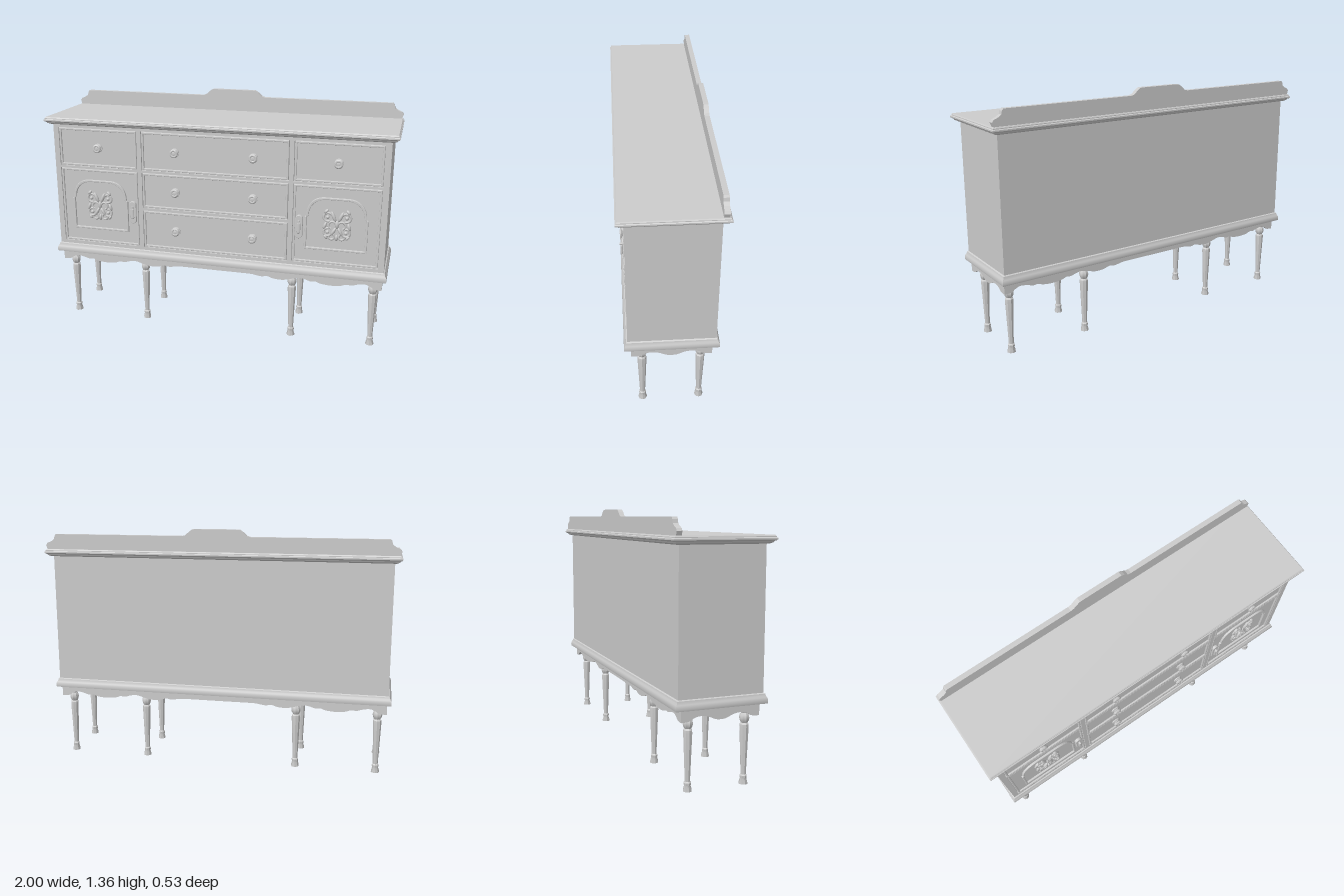
import * as THREE from 'three';
import { toCreasedNormals } from 'three/addons/utils/BufferGeometryUtils.js';

const material = new THREE.MeshStandardMaterial({ color: 0xcccccc });
const V2 = (p) => p.map(([x, y]) => new THREE.Vector2(x, y));

function add(parent, name, geometry, x = 0, y = 0, z = 0) {
  const mesh = new THREE.Mesh(geometry, material);
  mesh.name = name;
  mesh.position.set(x, y, z);
  parent.add(mesh);
  return mesh;
}

// Rectangular moulding: each profile entry is [y, outward offset]
function moulding(hx, hz, profile) {
  const pos = [];
  const ring = profile.map(([y, o]) => [
    [-hx - o, y, hz + o], [hx + o, y, hz + o], [hx + o, y, -hz - o], [-hx - o, y, -hz - o]]);
  const quad = (a, b, c, d) => pos.push(...a, ...b, ...c, ...a, ...c, ...d);
  for (let i = 0; i + 1 < ring.length; i++)
    for (let k = 0; k < 4; k++) {
      const n = (k + 1) % 4;
      quad(ring[i][k], ring[i][n], ring[i + 1][n], ring[i + 1][k]);
    }
  const bottom = ring[0], top = ring[ring.length - 1];
  quad(bottom[3], bottom[2], bottom[1], bottom[0]);
  quad(top[0], top[1], top[2], top[3]);
  const g = new THREE.BufferGeometry();
  g.setAttribute('position', new THREE.Float32BufferAttribute(pos, 3));
  return toCreasedNormals(g, 0.5);
}

const extrude = (shape, depth, bevel = 0) => new THREE.ExtrudeGeometry(shape, {
  depth, curveSegments: 10, bevelEnabled: bevel > 0, bevelSize: bevel, bevelThickness: bevel,
  bevelOffset: -bevel, bevelSegments: 2 });

const lathe = (points, segments, crease) => toCreasedNormals(new THREE.LatheGeometry(V2(points), segments), crease);

function rect(path, w, h, x = 0, y = 0) {
  path.moveTo(x - w / 2, y - h / 2);
  path.lineTo(x + w / 2, y - h / 2);
  path.lineTo(x + w / 2, y + h / 2);
  path.lineTo(x - w / 2, y + h / 2);
  path.closePath();
  return path;
}

// Door panel outline with a shouldered, flattened arch
function arch(path, inset) {
  const w = 0.172 - inset, s = w - 0.008, top = 0.875 - inset;
  path.moveTo(-w, 0.573 + inset);
  path.lineTo(w, 0.573 + inset);
  path.lineTo(w, 0.76);
  path.lineTo(s, 0.765);
  path.bezierCurveTo(s, top - 0.035, s - 0.045, top, s - 0.1, top);
  path.lineTo(-s + 0.1, top);
  path.bezierCurveTo(-s + 0.045, top, -s, top - 0.035, -s, 0.765);
  path.lineTo(-w, 0.76);
  path.closePath();
  return path;
}

// Apron board: half of the scalloped lower edge, mirrored
function apron(half, depth) {
  const right = half.map(([x, y]) => [x, y]);
  const left = half.slice(1).reverse().map(([x, y]) => [-x, y]);
  const edge = new THREE.SplineCurve(V2([...left, ...right])).getPoints(half.length * 10);
  const end = half[half.length - 1][0];
  return extrude(new THREE.Shape([...edge, ...V2([[end, 0.425], [-end, 0.425]])]), depth);
}

function knob(parent, x, y) {
  const g = lathe([[0.026, 0], [0.026, 0.008], [0.017, 0.011], [0.015, 0.015], [0.024, 0.019],
    [0.025, 0.025], [0.02, 0.03], [0.015, 0.03], [0.012, 0.027], [0.006, 0.03], [0, 0.031]], 20, 0.6);
  add(parent, 'knob', g, x, y, 0.215).rotation.x = Math.PI / 2;
}

// Leaf and scroll carving, symmetric about its middle
function carving(parent, x, y, z) {
  const group = new THREE.Group();
  group.name = 'carving';
  group.position.set(x, y, z);
  parent.add(group);
  const leaf = (px, py, rx, ry, turn) => {
    const m = add(group, 'carvedLeaf', new THREE.SphereGeometry(1, 10, 8), px, py, 0);
    m.scale.set(rx, ry, 0.011);
    m.rotation.z = turn;
  };
  for (const s of [-1, 1]) {
    for (const [px, py, r, start, sweep] of [[0.05, 0.045, 0.024, -2, 4.6], [0.05, -0.04, 0.022, -2.6, 4.4],
      [0.026, 0, 0.02, -1.2, 4], [0.028, -0.065, 0.016, 2.2, 4]]) {
      const m = add(group, 'carvedScroll', new THREE.TorusGeometry(r, 0.0065, 6, 14, sweep), s * px, py, 0);
      m.rotation.z = s > 0 ? start : Math.PI - start - sweep;
    }
    for (const [px, py, rx, ry, t] of [[0.02, 0.05, 0.01, 0.032, -0.4], [0.06, 0.078, 0.009, 0.016, 0.7],
      [0.066, -0.005, 0.009, 0.022, 0.3], [0.018, -0.035, 0.009, 0.026, 0.5],
      [0.052, 0.045, 0.01, 0.01, 0], [0.05, -0.04, 0.01, 0.01, 0], [0.06, -0.068, 0.008, 0.015, -0.6]])
      leaf(s * px, py, rx, ry, s * t);
  }
  leaf(0, 0.005, 0.011, 0.024, 0);
  leaf(0, -0.07, 0.009, 0.018, 0);
}

// Pill-shaped plate with a small hanging pull
function doorPull(parent, x, y) {
  const group = new THREE.Group();
  group.name = 'doorPull';
  group.position.set(x, y, 0);
  parent.add(group);
  const plate = new THREE.Shape();
  plate.absarc(0, 0.046, 0.021, 0, Math.PI);
  plate.absarc(0, -0.046, 0.021, Math.PI, Math.PI * 2);
  plate.closePath();
  add(group, 'pullPlate', extrude(plate, 0.012, 0.003), 0, 0, 0.217);
  add(group, 'pullPost', new THREE.CylinderGeometry(0.007, 0.007, 0.025, 12), 0, 0.032, 0.235).rotation.x = Math.PI / 2;
  const drop = add(group, 'pullDrop', new THREE.CapsuleGeometry(0.011, 0.045, 4, 10), 0, -0.005, 0.237);
  drop.scale.z = 0.5;
}

export function createModel() {
  const model = new THREE.Group();
  model.name = 'sideboard';

  // Carcass, moulded base and moulded top
  add(model, 'carcass', new THREE.BoxGeometry(1.92, 0.76, 0.434), 0, 0.83, -0.009);
  add(model, 'baseMoulding', moulding(0.96, 0.226, [[0.42, 0.016], [0.428, 0.018], [0.442, 0.017],
    [0.45, 0.014], [0.458, 0.009], [0.468, 0.007], [0.472, 0]]));
  add(model, 'top', moulding(0.96, 0.226, [[1.198, 0.01], [1.205, 0.024], [1.212, 0.028], [1.214, 0.034],
    [1.219, 0.039], [1.226, 0.039], [1.23, 0.034], [1.234, 0.034], [1.24, 0.03]]));

  // Backboard with a raised centre and stepped ends
  const half = [[0.13, 1.363], [0.15, 1.35], [0.17, 1.331], [0.19, 1.325], [0.932, 1.325], [0.94, 1.315],
    [0.944, 1.297], [0.96, 1.285], [0.985, 1.275], [0.994, 1.262], [0.985, 1.238]];
  half.unshift([0.11, 1.364]);
  const board = [...half.map(([x, y]) => [-x, y]).reverse(), ...half];
  add(model, 'backboard', extrude(new THREE.Shape(V2(board)), 0.028), 0, 0, -0.251);

  // Face frame with an opening for each drawer and door: x, y, width, height
  const drawers = [[0, 1.067, 0.85, 0.226], [0, 0.836, 0.85, 0.21], [0, 0.603, 0.85, 0.226],
    [-0.69, 1.067, 0.478, 0.226], [0.69, 1.067, 0.478, 0.226]];
  const doors = [-1, 1].map((s) => [s * 0.69, 0.716, 0.478, 0.45]);
  const frame = rect(new THREE.Shape(), 1.92, 0.76, 0, 0.83);
  for (const [x, y, w, h] of [...drawers, ...doors]) frame.holes.push(rect(new THREE.Path(), w, h, x, y));
  add(model, 'faceFrame', extrude(frame, 0.019), 0, 0, 0.207);

  // Panels with a bead around the edge
  const panel = (name, [x, y, w, h]) => {
    add(model, name, new THREE.BoxGeometry(w - 0.006, h - 0.006, 0.02), x, y, 0.207);
    const bead = rect(new THREE.Shape(), w - 0.006, h - 0.006);
    bead.holes.push(rect(new THREE.Path(), w - 0.03, h - 0.03));
    add(model, name + 'Bead', extrude(bead, 0.006, 0.003), x, y, 0.217);
  };
  for (const d of drawers) {
    panel('drawer', d);
    for (const x of d[0] ? [d[0]] : [-0.226, 0.226]) knob(model, x, d[1]);
  }
  for (const d of doors) {
    panel('door', d);
    const bead = arch(new THREE.Shape(), 0);
    bead.holes.push(arch(new THREE.Path(), 0.012));
    add(model, 'archBead', extrude(bead, 0.008, 0.003), d[0], 0, 0.217);
    carving(model, d[0] + Math.sign(d[0]) * 0.005, 0.72, 0.22);
    doorPull(model, Math.sign(d[0]) * 0.487, 0.698);
  }

  // Scalloped aprons on all four sides
  const longEdge = [[0, 0.381], [0.2, 0.381], [0.24, 0.377], [0.28, 0.372], [0.31, 0.377], [0.35, 0.366],
    [0.4, 0.364], [0.44, 0.373], [0.49, 0.386], [0.53, 0.381], [0.56, 0.372], [0.59, 0.374], [0.62, 0.364],
    [0.676, 0.359], [0.73, 0.364], [0.76, 0.374], [0.79, 0.372], [0.82, 0.381], [0.86, 0.387], [0.89, 0.378],
    [0.915, 0.362], [0.955, 0.36]];
  const sideEdge = [[0, 0.359], [0.03, 0.363], [0.065, 0.378], [0.1, 0.384], [0.135, 0.379],
    [0.165, 0.363], [0.208, 0.359]];
  for (const s of [-1, 1]) {
    add(model, 'longApron', apron(longEdge, 0.018), 0, 0, s > 0 ? 0.19 : -0.208);
    add(model, 'sideApron', apron(sideEdge, 0.018), s > 0 ? 0.937 : -0.955, 0, 0).rotation.y = Math.PI / 2;
  }

  // Eight turned, faceted legs
  const leg = lathe([[0, 0], [0.023, 0], [0.023, 0.008], [0.017, 0.028], [0.019, 0.036], [0.019, 0.044],
    [0.014, 0.05], [0.018, 0.15], [0.024, 0.295], [0.023, 0.308], [0.017, 0.316], [0.024, 0.328],
    [0.027, 0.341], [0.024, 0.355], [0.017, 0.366], [0.02, 0.372], [0.02, 0.421], [0, 0.421]], 8, 0.5);
  for (const x of [-0.905, -0.447, 0.447, 0.905])
    for (const z of [-0.152, 0.152]) add(model, 'leg', leg, x, 0, z);

  return model;
}
